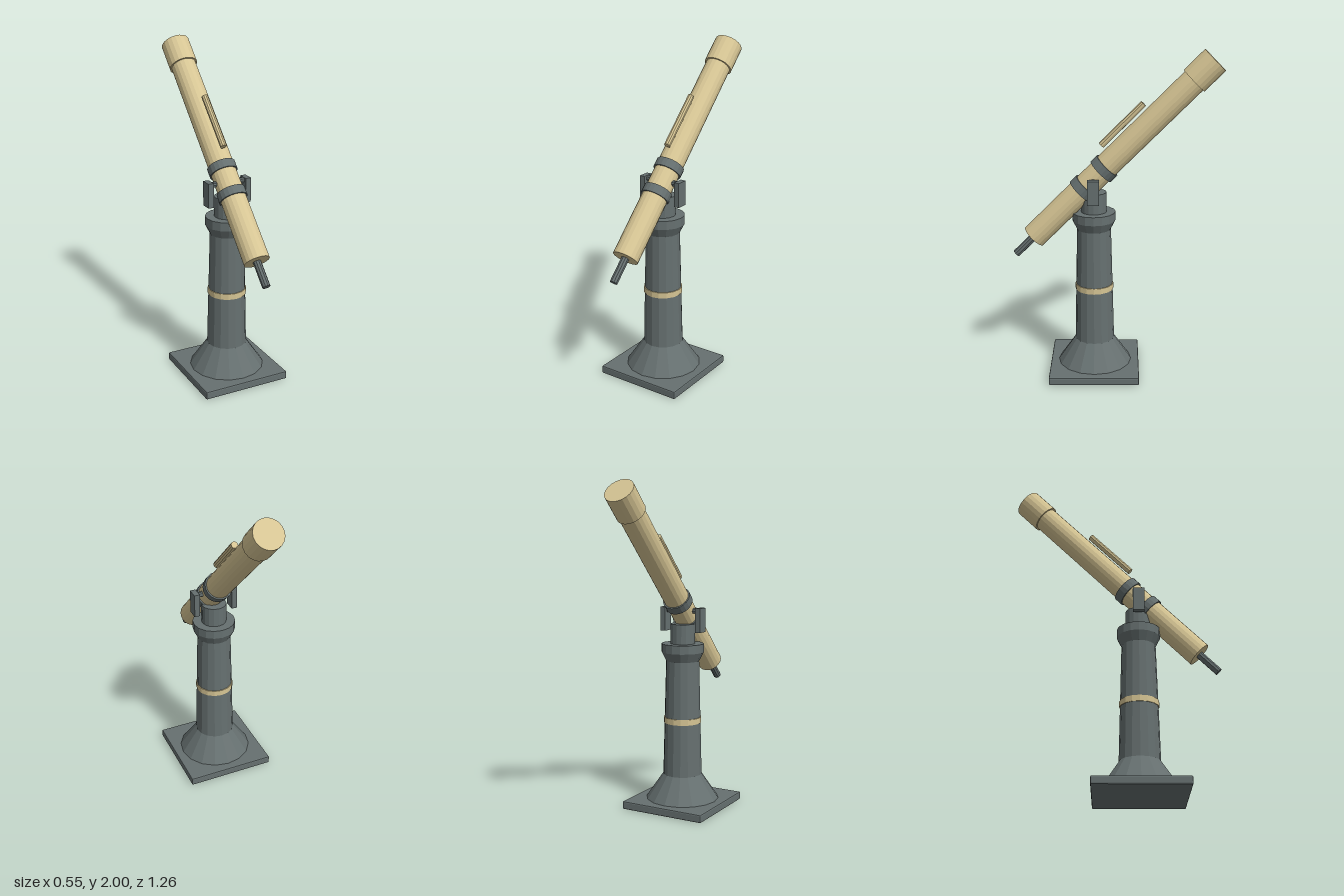
import * as THREE from 'three';
import { RoundedBoxGeometry } from 'three/addons/geometries/RoundedBoxGeometry.js';

export function createModel() {
  const model = new THREE.Group();
  model.name = 'pedestalTelescope';

  const iron = new THREE.MeshStandardMaterial({ color: 0x667070, flatShading: true });
  iron.name = 'grey iron';
  const cream = new THREE.MeshStandardMaterial({ color: 0xd6c594, flatShading: true });
  cream.name = 'cream paint';

  const add = (parent, name, geometry, material, x = 0, y = 0, z = 0) => {
    const mesh = new THREE.Mesh(geometry, material);
    mesh.name = name;
    mesh.position.set(x, y, z);
    parent.add(mesh);
    return mesh;
  };

  // Pedestal: square foot, flared column with capital, painted band, neck
  const pedestal = new THREE.Group();
  pedestal.name = 'pedestal';
  pedestal.position.z = 0.135;
  model.add(pedestal);
  add(pedestal, 'footPlate', new RoundedBoxGeometry(0.55, 0.05, 0.55, 1, 0.008), iron, 0, 0.025);
  const profile = [
    [0.228, 0.048], [0.121, 0.205], [0.103, 0.92], [0.131, 0.975], [0.131, 1.028], [0, 1.028],
  ].map(([r, y]) => new THREE.Vector2(r, y));
  add(pedestal, 'column', new THREE.LatheGeometry(profile, 16), iron);
  add(pedestal, 'columnBand', new THREE.CylinderGeometry(0.117, 0.117, 0.036, 16), cream, 0, 0.55);
  add(pedestal, 'neck', new THREE.CylinderGeometry(0.077, 0.077, 0.13, 16), iron, 0, 1.085);

  // Fork cheeks and the pivot bar between them
  for (const side of [-1, 1]) {
    add(pedestal, side > 0 ? 'leftCheek' : 'rightCheek',
      new THREE.BoxGeometry(0.034, 0.148, 0.07), iron, side * 0.122, 1.177);
  }
  add(pedestal, 'pivotBar', new THREE.CylinderGeometry(0.017, 0.017, 0.24, 10), iron, 0, 1.232)
    .rotation.z = Math.PI / 2;

  // Optical tube, built along local y and tilted to 45 degrees about the pivot
  const tube = new THREE.Group();
  tube.name = 'opticalTube';
  tube.position.set(0, 1.233, 0.135);
  tube.rotation.x = -Math.PI / 4;
  model.add(tube);
  const barrel = (name, r, from, to, material, sides = 16, z = 0) =>
    add(tube, name, new THREE.CylinderGeometry(r, r, to - from, sides), material, 0, (from + to) / 2, z);
  barrel('mainTube', 0.077, -0.515, 0.85, cream, 20);
  barrel('dewCap', 0.0875, 0.827, 0.996, cream, 20);
  barrel('eyepiece', 0.024, -0.672, -0.5, iron, 10);
  barrel('lowerRing', 0.086, -0.114, -0.061, iron, 20);
  barrel('upperRing', 0.086, 0.061, 0.114, iron, 20);
  barrel('finderScope', 0.02, 0.177, 0.527, cream, 10, 0.111);

  return model;
}
